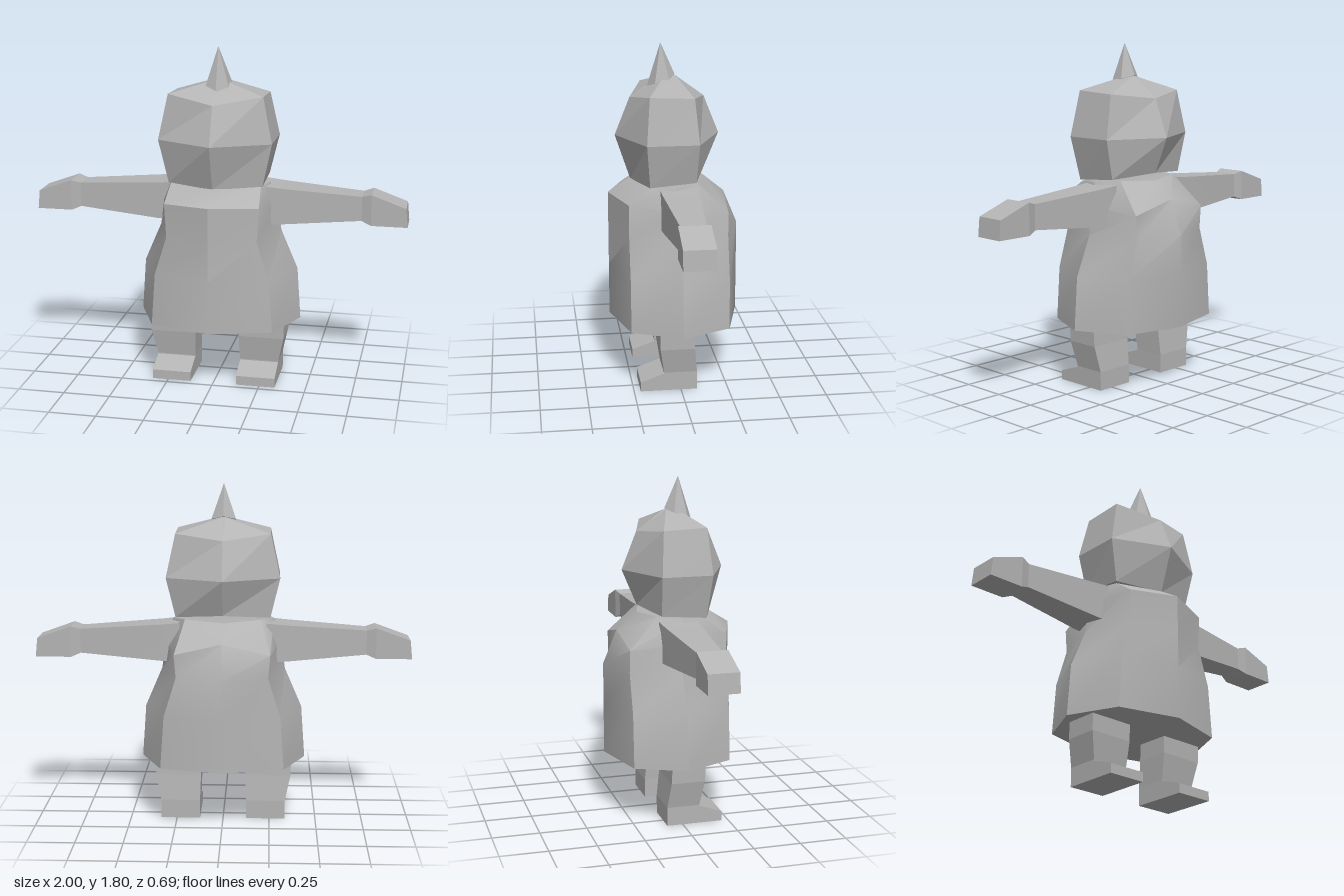
import * as THREE from 'three';
import { toCreasedNormals } from 'three/addons/utils/BufferGeometryUtils.js';

// Skin a row of equal-length point rings, cap both ends, and face outward
function loft(rings, crease = 0.02) {
  const tris = [];
  const n = rings[0].length;
  for (let r = 0; r < rings.length - 1; r++) {
    for (let i = 0; i < n; i++) {
      const j = (i + 1) % n;
      const [a, b, c, d] = [rings[r][i], rings[r][j], rings[r + 1][j], rings[r + 1][i]];
      tris.push([a, b, c], [a, c, d]);
    }
  }
  const first = rings[0], last = rings[rings.length - 1];
  for (let i = 1; i < n - 1; i++) {
    tris.push([first[0], first[i + 1], first[i]], [last[0], last[i], last[i + 1]]);
  }
  let volume = 0;
  const [A, B, C] = [0, 1, 2].map(() => new THREE.Vector3());
  for (const [a, b, c] of tris) {
    volume += A.fromArray(a).dot(B.fromArray(b).cross(C.fromArray(c)));
  }
  if (volume < 0) tris.forEach((t) => t.reverse());
  const geometry = new THREE.BufferGeometry();
  geometry.setAttribute('position', new THREE.Float32BufferAttribute(tris.flat(2), 3));
  return toCreasedNormals(geometry, crease);
}

// Complete a symmetric ring from its front-to-back half (ends lie on x = 0)
const mirrorRing = (half) => [
  ...half,
  ...half.slice(1, -1).reverse().map(([x, y, z]) => [-x, y, z]),
];

export function createModel() {
  const model = new THREE.Group();
  const clay = new THREE.MeshStandardMaterial({ color: 0xb4b4b4 });
  clay.name = 'grey clay';
  const add = (name, geometry) => {
    const mesh = new THREE.Mesh(geometry, clay);
    mesh.name = name;
    model.add(mesh);
  };

  // Flared eight-sided robe with sloping shoulders
  const robe = [[0.33, 0.44, 0.325], [0.61, 0.42, 0.305], [0.82, 0.33, 0.24]].map(
    ([y, side, corner]) => mirrorRing([
      [0, y, 0.35], [corner, y, 0.26], [side, y, 0], [corner, y, -0.26], [0, y, -0.345],
    ]));
  robe.push(mirrorRing([
    [0, 1.01, 0.35], [0.25, 1.0, 0.26], [0.31, 0.97, 0.01], [0.25, 0.94, -0.26], [0, 1.0, -0.27],
  ]));
  robe.push(mirrorRing([
    [0, 1.085, 0.23], [0.24, 1.085, 0.14], [0.27, 1.09, 0.02], [0.2, 1.1, -0.1], [0, 1.09, -0.16],
  ]));
  add('robe', loft(robe, 0.62));

  // Faceted six-sided head rising to a point
  const head = [
    [[0, 1.08, 0.23], [0.25, 1.09, 0.15], [0.25, 1.11, -0.09], [0, 1.13, -0.16]],
    [[0, 1.32, 0.31], [0.3, 1.32, 0.17], [0.3, 1.32, -0.1], [0, 1.32, -0.24]],
    [[0, 1.52, 0.23], [0.25, 1.56, 0.15], [0.25, 1.55, -0.08], [0, 1.52, -0.16]],
    [[0, 1.63, 0.06], [0.01, 1.63, 0.05], [0.01, 1.63, 0], [0, 1.63, -0.01]],
  ].map(mirrorRing);
  add('head', loft(head));

  // Horn with a base tilted to follow the forehead
  const hornRing = (radius, y, slope) => Array.from({ length: 6 }, (_, i) => {
    const a = (i * Math.PI) / 3;
    const z = Math.cos(a) * radius;
    return [Math.sin(a) * radius, y - z * slope, 0.067 + z];
  });
  add('horn', loft([hornRing(0.075, 1.6, 0.45), hornRing(0.001, 1.8, 0)]));

  for (const side of [1, -1]) {
    const label = side > 0 ? 'left' : 'right';

    // Arm stations: top x, bottom x, top y, bottom y, half depth
    const arm = [
      [0.23, 0.23, 1.08, 0.87, 0.1],
      [0.33, 0.33, 1.07, 0.875, 0.095],
      [0.76, 0.76, 1.04, 0.91, 0.065],
      [0.81, 0.81, 1.055, 0.89, 0.08],
      [0.99, 1.0, 0.99, 0.89, 0.08],
    ].map(([xt, xb, top, bottom, d]) => [
      [side * xt, top, d], [side * xt, top, -d], [side * xb, bottom, -d], [side * xb, bottom, d],
    ]);
    add(label + 'Arm', loft(arm));

    // Leg stations: y, inner x, outer x, front z, back z
    const leg = [
      [0.36, 0.12, 0.368, 0.115, -0.065],
      [0.24, 0.12, 0.365, 0.112, -0.07],
      [0.1, 0.125, 0.335, 0.09, -0.085],
      [0, 0.125, 0.335, 0.09, -0.085],
    ].map(([y, inner, outer, front, back]) => [
      [side * inner, y, front], [side * outer, y, front],
      [side * outer, y, back], [side * inner, y, back],
    ]);
    add(label + 'Leg', loft(leg));

    // Wedge foot
    const foot = [[0.09, 0.095], [0.215, 0.05]].map(([z, h]) => [
      [side * 0.125, 0, z], [side * 0.335, 0, z], [side * 0.335, h, z], [side * 0.125, h, z],
    ]);
    add(label + 'Foot', loft(foot));
  }
  return model;
}
